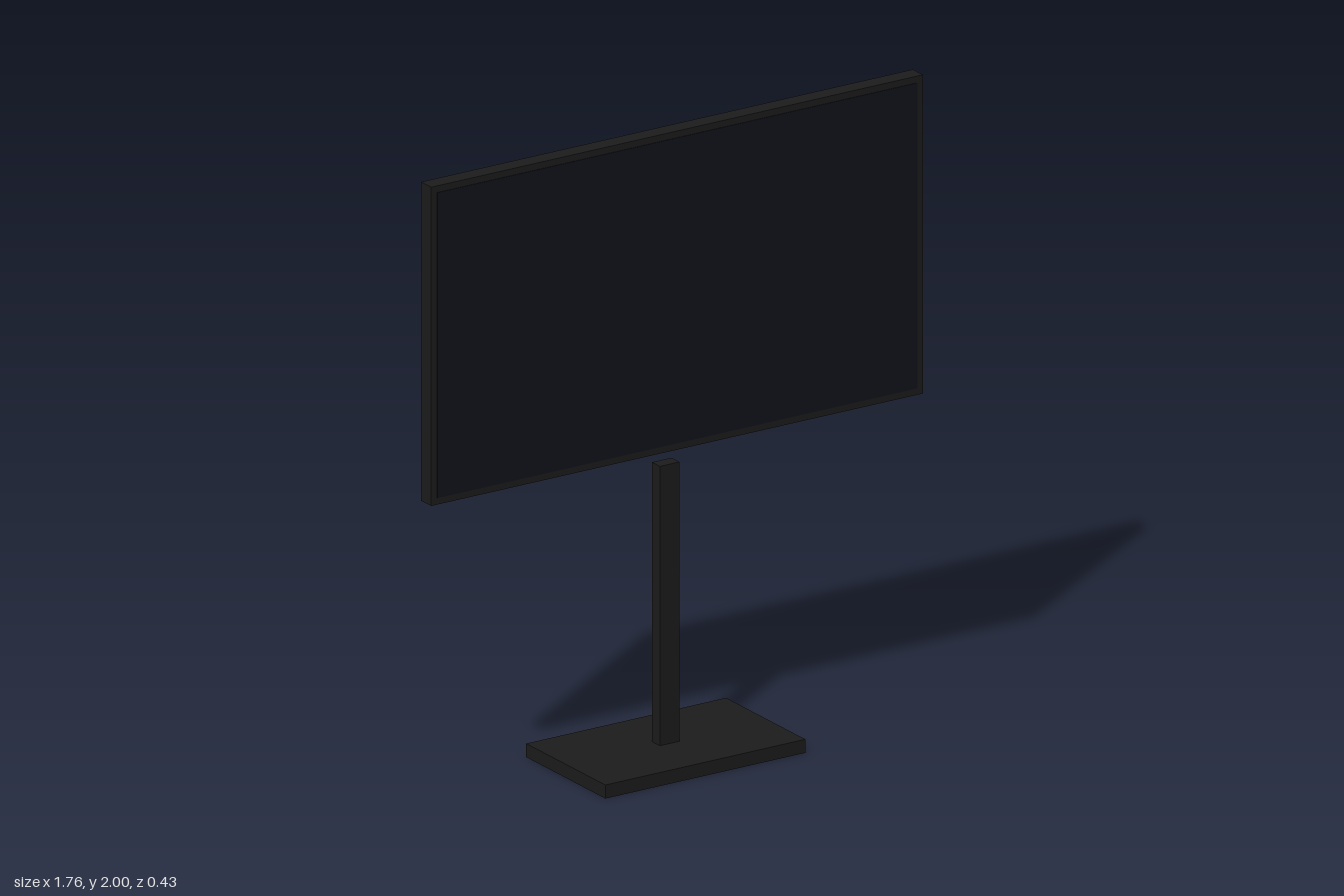
import * as THREE from 'three';

const darkPlastic = new THREE.MeshStandardMaterial({ color: 0x1c1c1c });
const screenGlass = new THREE.MeshStandardMaterial({ color: 0x10131a });

// Box given by its size, bottom height and centre depth
function box(name, [w, h, d], bottom, z, material = darkPlastic) {
  const mesh = new THREE.Mesh(new THREE.BoxGeometry(w, h, d), material);
  mesh.name = name;
  mesh.position.set(0, bottom + h / 2, z);
  return mesh;
}

export function createModel() {
  const model = new THREE.Group();
  model.name = 'displayOnStand';

  // Stand: flat foot and upright post, ending just below the panel
  const stand = new THREE.Group();
  stand.name = 'stand';
  stand.add(
    box('base', [0.714, 0.043, 0.428], 0, 0),
    box('post', [0.07, 0.89, 0.043], 0.04, 0),
  );

  // Display: slim housing with a thin screen inside a narrow bezel
  const display = new THREE.Group();
  display.name = 'display';
  display.add(
    box('housing', [1.756, 1.012, 0.055], 0.988, 0.034),
    box('screen', [1.714, 0.97, 0.004], 1.009, 0.0615, screenGlass),
  );

  model.add(stand, display);
  return model;
}
